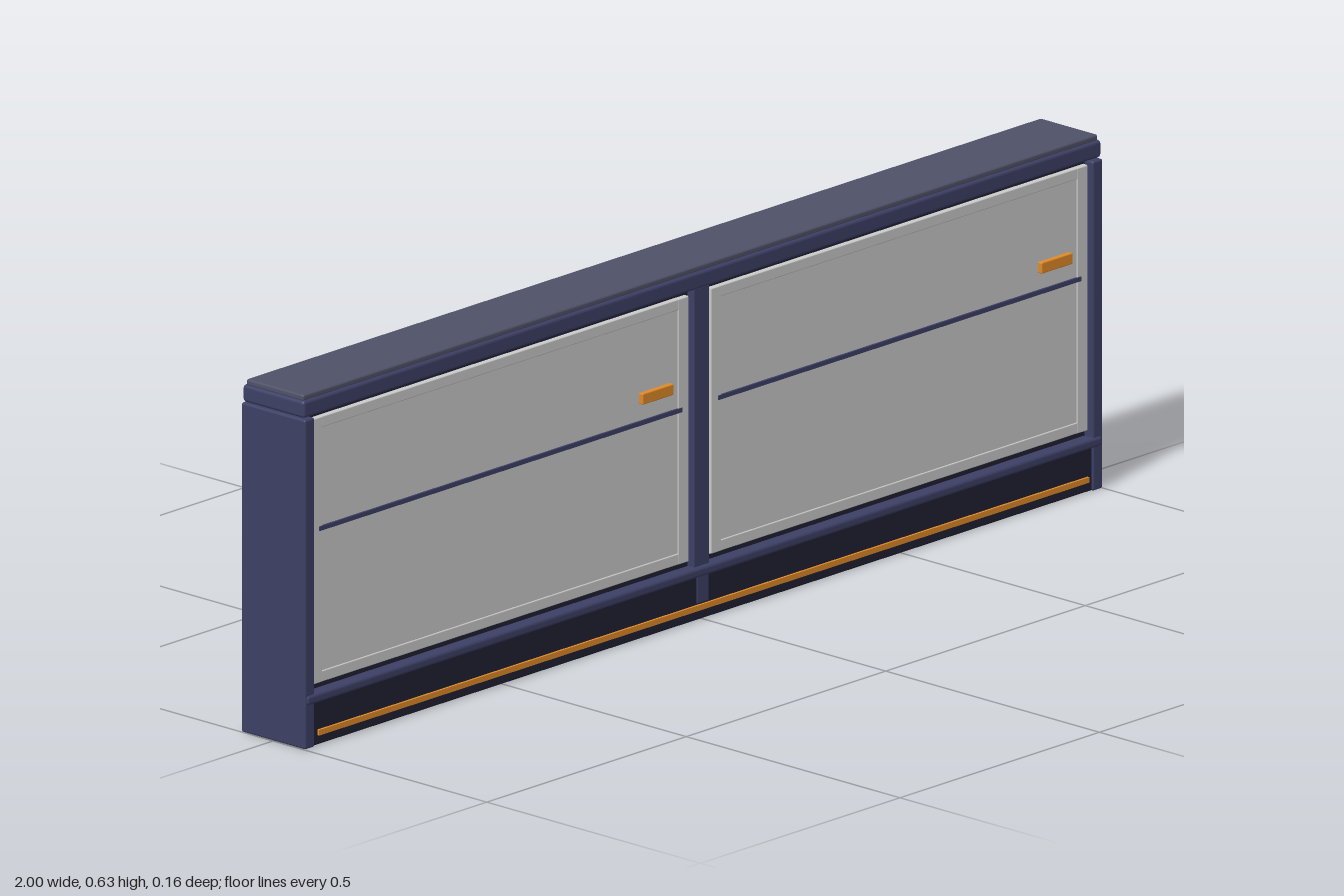
import * as THREE from 'three';
import { RoundedBoxGeometry } from 'three/addons/geometries/RoundedBoxGeometry.js';

const mat = (color) => new THREE.MeshStandardMaterial({ color });

export function createModel() {
  const model = new THREE.Group();
  const blue = mat(0x3e4066), dark = mat(0x1f2133), slate = mat(0x4f5268);
  const grey = mat(0xcccccc), orange = mat(0xe08a28);

  // Box from its min/max extents, with softened edges when r > 0
  function block(parent, name, material, [x0, x1], [y0, y1], [z0, z1], r = 0) {
    const size = [x1 - x0, y1 - y0, z1 - z0];
    const geometry = r ? new RoundedBoxGeometry(...size, 2, r) : new THREE.BoxGeometry(...size);
    const mesh = new THREE.Mesh(geometry, material);
    mesh.position.set((x0 + x1) / 2, (y0 + y1) / 2, (z0 + z1) / 2);
    mesh.name = name;
    parent.add(mesh);
    return mesh;
  }

  // Structure: base, inner core, posts and cap
  block(model, 'base', dark, [-0.98, 0.98], [0, 0.09], [-0.071, 0.071], 0.004);
  block(model, 'core', dark, [-0.98, 0.98], [0.08, 0.6], [-0.055, 0.055]);
  block(model, 'baseLedge', blue, [-0.997, 0.997], [0.078, 0.096], [-0.078, 0.078], 0.006);
  block(model, 'centrePost', blue, [-0.02, 0.02], [0.09, 0.597], [-0.07, 0.07], 0.003);
  block(model, 'baseJoint', blue, [-0.015, 0.015], [0.03, 0.085], [-0.073, 0.073], 0.002);
  for (const s of [-1, 1]) {
    const post = block(model, 'endPost', blue, [0.975, 1], [0, 0.592], [-0.075, 0.075], 0.004);
    post.position.x *= s;
  }
  block(model, 'topCap', blue, [-1, 1], [0.594, 0.625], [-0.072, 0.072], 0.006);
  block(model, 'topPlate', slate, [-0.996, 0.996], [0.623, 0.635], [-0.067, 0.067], 0.004);

  // Each face carries two panels with frame, trim line and handle
  for (const side of [1, -1]) {
    const face = new THREE.Group();
    face.name = side > 0 ? 'frontFace' : 'backFace';
    model.add(face);
    const add = (name, m, x, y, a, b, r) =>
      block(face, name, m, x, y, side > 0 ? [a, b] : [-b, -a], r);

    add('lightStrip', orange, [-0.965, 0.965], [0.018, 0.028], 0.068, 0.0755);
    for (const centre of [-0.5, 0.5]) {
      const l = centre - 0.472, r = centre + 0.472;
      add('panel', grey, [l, r], [0.108, 0.585], 0.05, 0.063);
      for (const x of [l, r - 0.026])
        add('panelFrameSide', grey, [x, x + 0.026], [0.108, 0.585], 0.06, 0.0655, 0.002);
      for (const y of [0.108, 0.565])
        add('panelFrameRail', grey, [l + 0.024, r - 0.024], [y, y + 0.02], 0.06, 0.065, 0.002);
      add('trimLine', blue, [centre - 0.455, centre + 0.455], [0.381, 0.389], 0.06, 0.067);
      // The rear left panel has a hatch instead of a handle
      if (side > 0 || centre < 0)
        add('handle', orange, [centre + 0.35, centre + 0.428], [0.419, 0.439], 0.06, 0.072, 0.002);
    }
  }

  // Rear service hatch with latch
  const hatch = new THREE.Group();
  hatch.name = 'serviceHatch';
  model.add(hatch);
  block(hatch, 'hatchGap', dark, [0.308, 0.692], [0.137, 0.343], [-0.0685, -0.06]);
  block(hatch, 'hatchDoor', grey, [0.313, 0.687], [0.142, 0.338], [-0.071, -0.06], 0.002);
  block(hatch, 'hatchLatch', blue, [0.648, 0.672], [0.22, 0.275], [-0.0755, -0.065], 0.002);

  return model;
}
